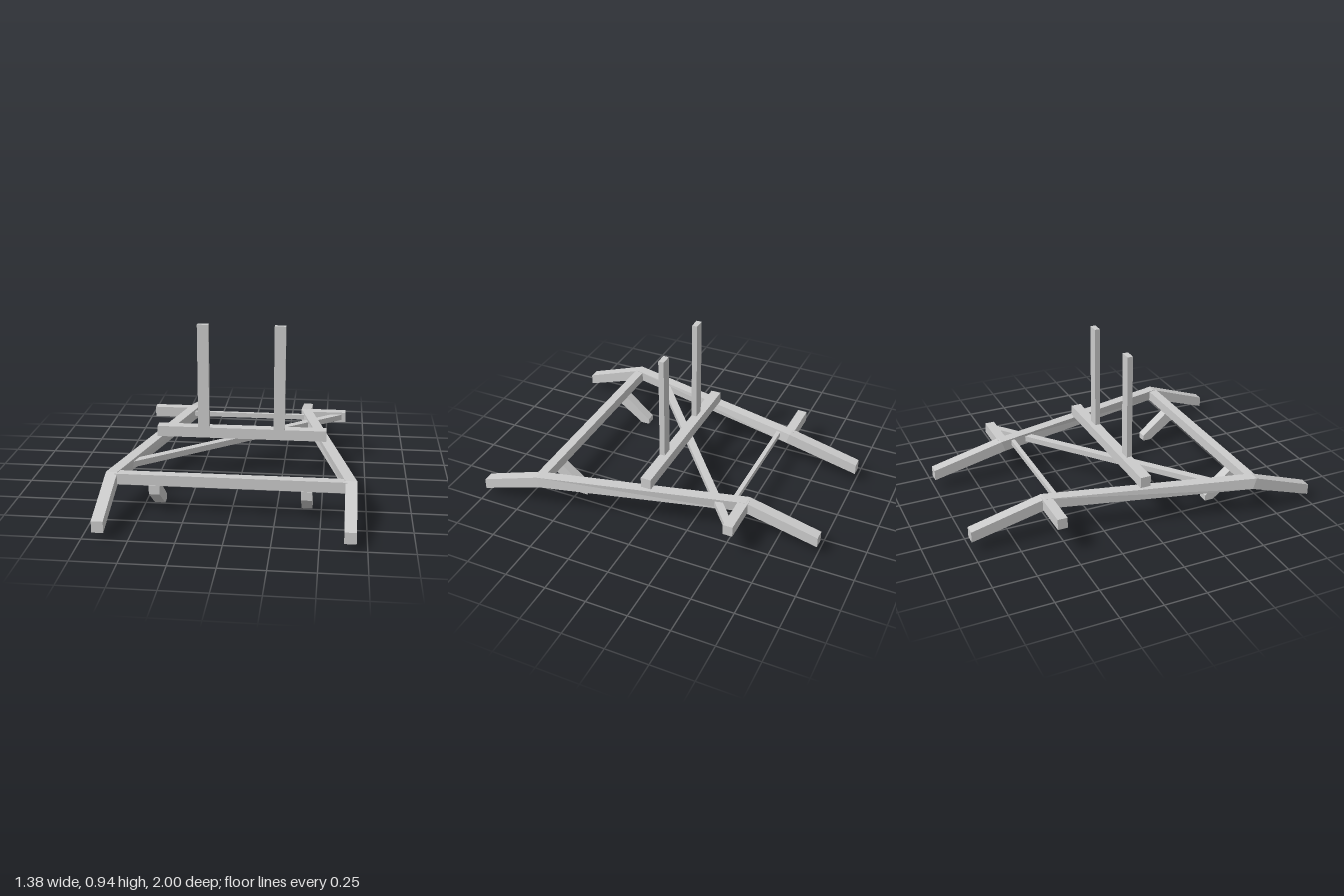
import * as THREE from 'three';

const material = new THREE.MeshStandardMaterial({ color: 0xcccccc, flatShading: true });

function addMesh(parent, name, geometry) {
  const mesh = new THREE.Mesh(geometry, material);
  mesh.name = name;
  parent.add(mesh);
  return mesh;
}

// Box given by its limits on each axis
function addBar(parent, name, [x0, x1], [y0, y1], [z0, z1]) {
  const mesh = addMesh(parent, name, new THREE.BoxGeometry(x1 - x0, y1 - y0, z1 - z0));
  mesh.position.set((x0 + x1) / 2, (y0 + y1) / 2, (z0 + z1) / 2);
}

// Prism from a flat outline
function prism(points, depth) {
  const shape = new THREE.Shape(points.map(([x, y]) => new THREE.Vector2(x, y)));
  return new THREE.ExtrudeGeometry(shape, { depth, bevelEnabled: false });
}

// Bent square tube: each section holds centre x, bottom y/z and top y/z
function railGeometry(side) {
  const half = 0.032;
  const sections = [
    [0.66, 0.04, 1, 0.105, 1],
    [0.66, 0.17, 0.61, 0.235, 0.632],
    [0.37, 0.17, -0.545, 0.235, -0.567],
    [0.37, 0.068, -1, 0.132, -1],
  ];
  const positions = [];
  for (const [x, yb, zb, yt, zt] of sections) {
    const a = side * x - half, b = side * x + half;
    positions.push(a, yb, zb, b, yb, zb, b, yt, zt, a, yt, zt);
  }
  const index = [0, 1, 2, 0, 2, 3];
  for (let s = 0; s < sections.length - 1; s++) {
    for (let k = 0; k < 4; k++) {
      const a = s * 4 + k, b = s * 4 + (k + 1) % 4;
      index.push(a, a + 4, b, b, a + 4, b + 4);
    }
  }
  const e = (sections.length - 1) * 4;
  index.push(e, e + 2, e + 1, e, e + 3, e + 2);
  const geometry = new THREE.BufferGeometry();
  geometry.setAttribute('position', new THREE.Float32BufferAttribute(positions, 3));
  geometry.setIndex(index);
  const flat = geometry.toNonIndexed();
  flat.computeVertexNormals();
  return flat;
}

export function createModel() {
  const model = new THREE.Group();
  model.name = 'frame';

  // Bars across the frame
  addBar(model, 'frontCrossbar', [-0.64, 0.64], [0.17, 0.232], [0.595, 0.65]);
  addBar(model, 'middleCrossbar', [-0.512, 0.512], [0.235, 0.3], [-0.027, 0.036]);
  addBar(model, 'rearRod', [-0.37, 0.37], [0.195, 0.225], [-0.5, -0.475]);

  // Diagonal brace, its ends cut to meet the side rail and the rear arm
  const brace = prism([[-0.59, -0.44], [0.605, 0.525], [0.535, 0.525], [-0.59, -0.38]], 0.035);
  brace.rotateX(-Math.PI / 2);
  addMesh(model, 'diagonalBrace', brace).position.y = 0.185;

  // Outline of a foot in side view, as z and y
  const footOutline = [[0.655, 0.17], [0.655, 0.12], [0.49, 0], [0.437, 0], [0.437, 0.035], [0.6, 0.17]];

  for (const side of [1, -1]) {
    const label = side > 0 ? 'left' : 'right';
    const span = (a, b) => (side > 0 ? [a, b] : [-b, -a]);
    addMesh(model, label + 'SideRail', railGeometry(side));
    addBar(model, label + 'Post', span(0.195, 0.262), [0.3, 0.937], [0.003, 0.036]);
    addBar(model, label + 'RearArm', span(0.37, 0.627), [0.17, 0.234], [-0.58, -0.522]);
    const foot = prism(footOutline, 0.06);
    foot.rotateY(-Math.PI / 2);
    addMesh(model, label + 'Foot', foot).position.x = side * 0.42 + 0.03;
  }
  return model;
}
